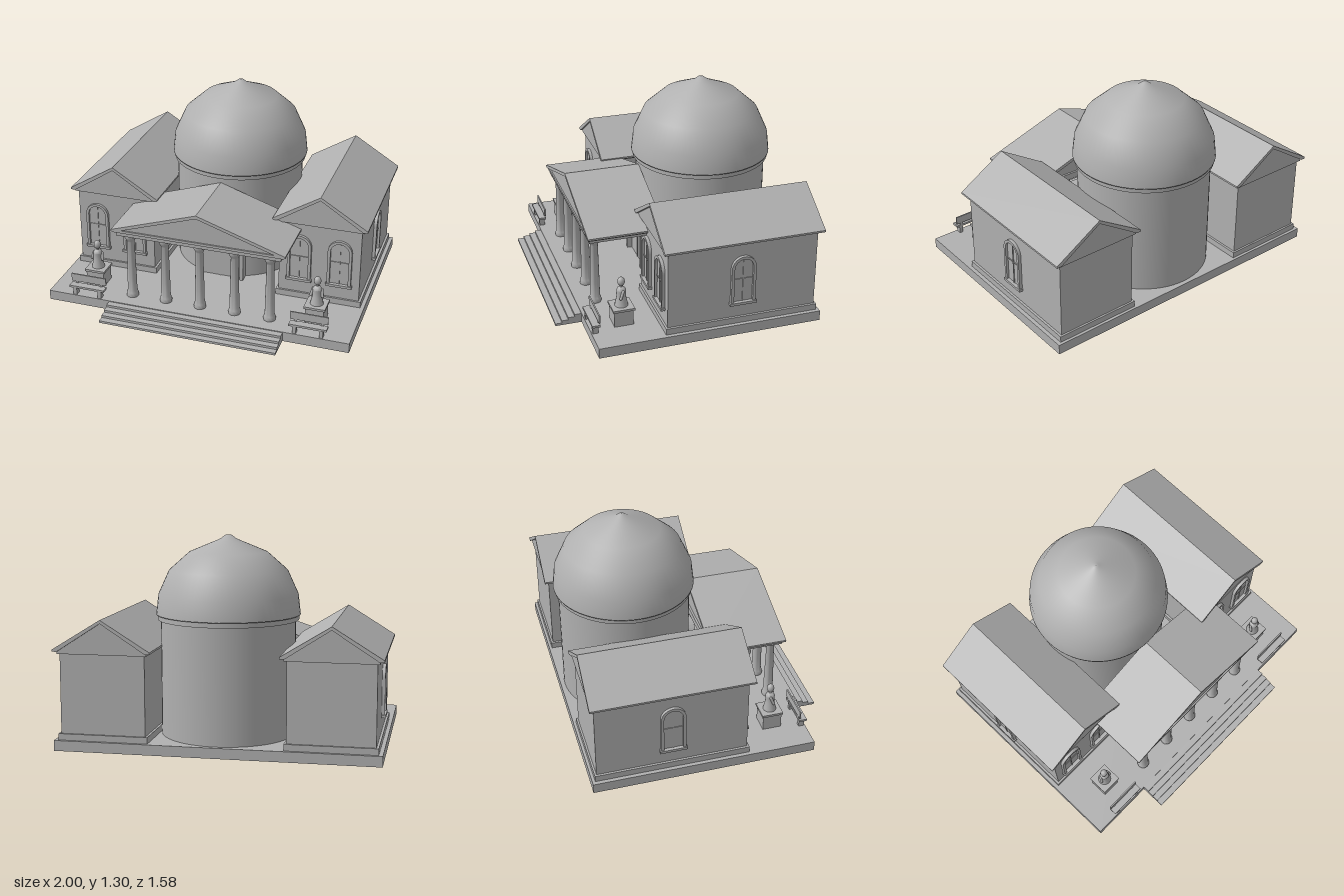
import * as THREE from 'three';
import { toCreasedNormals } from 'three/addons/utils/BufferGeometryUtils.js';

const stone = new THREE.MeshStandardMaterial({ color: 0xb0b0b0 });
stone.name = 'grey stone';

function add(parent, name, geometry, x = 0, y = 0, z = 0) {
  const mesh = new THREE.Mesh(geometry, stone);
  mesh.name = name;
  mesh.position.set(x, y, z);
  parent.add(mesh);
  return mesh;
}

// Box given by its limits on each axis
function block(parent, name, x0, x1, y0, y1, z0, z1) {
  return add(parent, name, new THREE.BoxGeometry(x1 - x0, y1 - y0, z1 - z0),
    (x0 + x1) / 2, (y0 + y1) / 2, (z0 + z1) / 2);
}

function group(parent, name, x = 0, y = 0, z = 0) {
  const g = new THREE.Group();
  g.name = name;
  g.position.set(x, y, z);
  parent.add(g);
  return g;
}

function extrude(shape, depth) {
  return new THREE.ExtrudeGeometry(shape, { depth, bevelEnabled: false, curveSegments: 12 });
}

function polygon(points) {
  return new THREE.Shape(points.map(([x, y]) => new THREE.Vector2(x, y)));
}

function lathe(points, segments = 32, crease = 0.7) {
  const g = new THREE.LatheGeometry(points.map(([r, y]) => new THREE.Vector2(r, y)), segments);
  return toCreasedNormals(g, crease);
}

// Round-headed outline standing on y = 0
function arch(halfWidth, height, Type = THREE.Shape) {
  const s = new Type();
  s.moveTo(-halfWidth, 0);
  s.lineTo(halfWidth, 0);
  s.lineTo(halfWidth, height - halfWidth);
  s.absarc(0, height - halfWidth, halfWidth, 0, Math.PI, false);
  s.closePath();
  return s;
}

function archFrame(halfWidth, height, rim, depth) {
  const s = arch(halfWidth, height);
  s.holes.push(arch(halfWidth - rim, height - rim, THREE.Path));
  return extrude(s, depth);
}

// Gable roof: filled pediment under a projecting chevron
function gableRoof(parent, x, halfWidth, eaveY, peakY, z0, z1) {
  const g = group(parent, 'gableRoof', x, 0, z0);
  const t = 0.022, length = z1 - z0;
  add(g, 'roofSlopes', extrude(polygon([
    [-halfWidth, eaveY], [-halfWidth + 0.03, eaveY], [0, peakY - t],
    [halfWidth - 0.03, eaveY], [halfWidth, eaveY], [halfWidth, eaveY + 0.012],
    [0, peakY], [-halfWidth, eaveY + 0.012]]), length));
  add(g, 'pediment', extrude(polygon([
    [-halfWidth + 0.03, eaveY], [halfWidth - 0.03, eaveY], [0, peakY - t]]), length - 0.03), 0, 0, 0.015);
}

// Arched window facing +z, its sill at the group origin
function archedWindow(parent, x, y, z, turn = 0) {
  const g = group(parent, 'archedWindow', x, y, z);
  g.rotation.y = turn;
  add(g, 'windowFrame', archFrame(0.078, 0.32, 0.018, 0.02));
  add(g, 'windowPane', extrude(arch(0.062, 0.304), 0.004));
  block(g, 'mullion', -0.003, 0.003, 0.01, 0.3, 0.003, 0.009);
  block(g, 'transom', -0.06, 0.06, 0.163, 0.169, 0.003, 0.009);
  block(g, 'sill', -0.085, 0.085, -0.005, 0.012, 0, 0.027);
}

function wing(parent, side) {
  const cx = side * 0.695;
  const g = group(parent, side > 0 ? 'leftWing' : 'rightWing');
  block(g, 'plinth', cx - 0.28, cx + 0.28, 0.065, 0.105, -0.772, 0.203);
  block(g, 'walls', cx - 0.265, cx + 0.265, 0.065, 0.605, -0.76, 0.19);
  block(g, 'cornice', cx - 0.28, cx + 0.28, 0.6, 0.622, -0.775, 0.205);
  gableRoof(g, cx, 0.305, 0.615, 0.815, -0.79, 0.222);
  archedWindow(g, side * 0.565, 0.2, 0.19);
  archedWindow(g, side * 0.828, 0.2, 0.19);
  archedWindow(g, side * 0.96, 0.2, -0.283, side * Math.PI / 2);
}

function statue(parent, side) {
  const g = group(parent, 'statue', side * 0.74, 0, 0.413);
  block(g, 'pedestal', -0.06, 0.06, 0.065, 0.168, -0.06, 0.06);
  block(g, 'pedestalCap', -0.068, 0.068, 0.165, 0.18, -0.068, 0.068);
  add(g, 'robedBody', lathe([[0, 0.18], [0.042, 0.18], [0.038, 0.2], [0.03, 0.235],
    [0.028, 0.27], [0.03, 0.285], [0.022, 0.3], [0.01, 0.308], [0.01, 0.32]], 16));
  add(g, 'head', new THREE.SphereGeometry(0.023, 16, 12), 0, 0.342, 0).scale.y = 1.25;
  for (const s of [-1, 1]) {
    const arm = add(g, 'arm', new THREE.CapsuleGeometry(0.009, 0.045, 4, 8), s * 0.033, 0.262, 0.004);
    arm.rotation.set(-0.4, 0, s * 0.2);
  }
}

function bench(parent, side) {
  const g = group(parent, 'bench', side * 0.735);
  block(g, 'seat', -0.12, 0.12, 0.118, 0.132, 0.575, 0.625);
  block(g, 'backrest', -0.12, 0.12, 0.145, 0.197, 0.575, 0.584);
  for (const s of [-1, 1]) {
    const x = s * 0.085;
    block(g, 'benchLeg', x - 0.012, x + 0.012, 0.065, 0.12, 0.582, 0.618);
    block(g, 'backPost', x - 0.008, x + 0.008, 0.13, 0.15, 0.576, 0.583);
  }
}

export function createModel() {
  const model = new THREE.Group();
  model.name = 'domedHall';

  // Platform and front steps
  block(model, 'platform', -1, 1, 0, 0.065, -0.79, 0.625);
  for (let i = 0; i < 4; i++) {
    block(model, 'step', -0.58, 0.58, 0, 0.06 - i * 0.015, 0.6, 0.667 + i * 0.041);
  }

  // Round hall with its dome
  const hall = group(model, 'roundHall', 0, 0, -0.342);
  add(hall, 'drum', new THREE.CylinderGeometry(0.42, 0.42, 0.73, 64), 0, 0.43, 0);
  add(hall, 'drumRing', new THREE.CylinderGeometry(0.44, 0.44, 0.032, 64), 0, 0.8, 0);
  add(hall, 'dome', new THREE.LatheGeometry([[0, 0.815], [0.449, 0.815], [0.449, 0.82],
    [0.435, 0.94], [0.368, 1.088], [0.242, 1.2], [0.05, 1.28], [0.018, 1.304], [0, 1.305]]
    .map(([r, y]) => new THREE.Vector2(r, y)), 64));

  // Arched doorway
  const door = group(model, 'doorway', 0, 0.065, 0.03);
  add(door, 'doorFrame', archFrame(0.162, 0.445, 0.018, 0.07));
  add(door, 'doorPanel', extrude(arch(0.146, 0.429), 0.055));
  block(door, 'doorSeam', -0.003, 0.003, 0, 0.42, 0.05, 0.06);
  for (const s of [-1, 1]) {
    block(door, 'doorPost', s * 0.152 - 0.012, s * 0.152 + 0.012, 0, 0.285, 0.05, 0.085);
  }

  // Portico
  const portico = group(model, 'portico');
  block(portico, 'entablature', -0.54, 0.54, 0.515, 0.545, 0.08, 0.553);
  block(portico, 'cornice', -0.56, 0.56, 0.54, 0.557, 0.08, 0.562);
  gableRoof(portico, 0, 0.57, 0.548, 0.748, 0.078, 0.568);
  const columnShape = lathe([[0, 0.065], [0.038, 0.065], [0.04, 0.08], [0.036, 0.095],
    [0.031, 0.11], [0.03, 0.2], [0.024, 0.465], [0.028, 0.475], [0.036, 0.49],
    [0.039, 0.5], [0.039, 0.516], [0, 0.516]], 24);
  for (let i = -2; i <= 2; i++) add(portico, 'column', columnShape, i * 0.231, 0, 0.505);

  // Mirrored wings, statues and benches
  for (const side of [-1, 1]) {
    wing(model, side);
    statue(model, side);
    bench(model, side);
  }
  return model;
}
